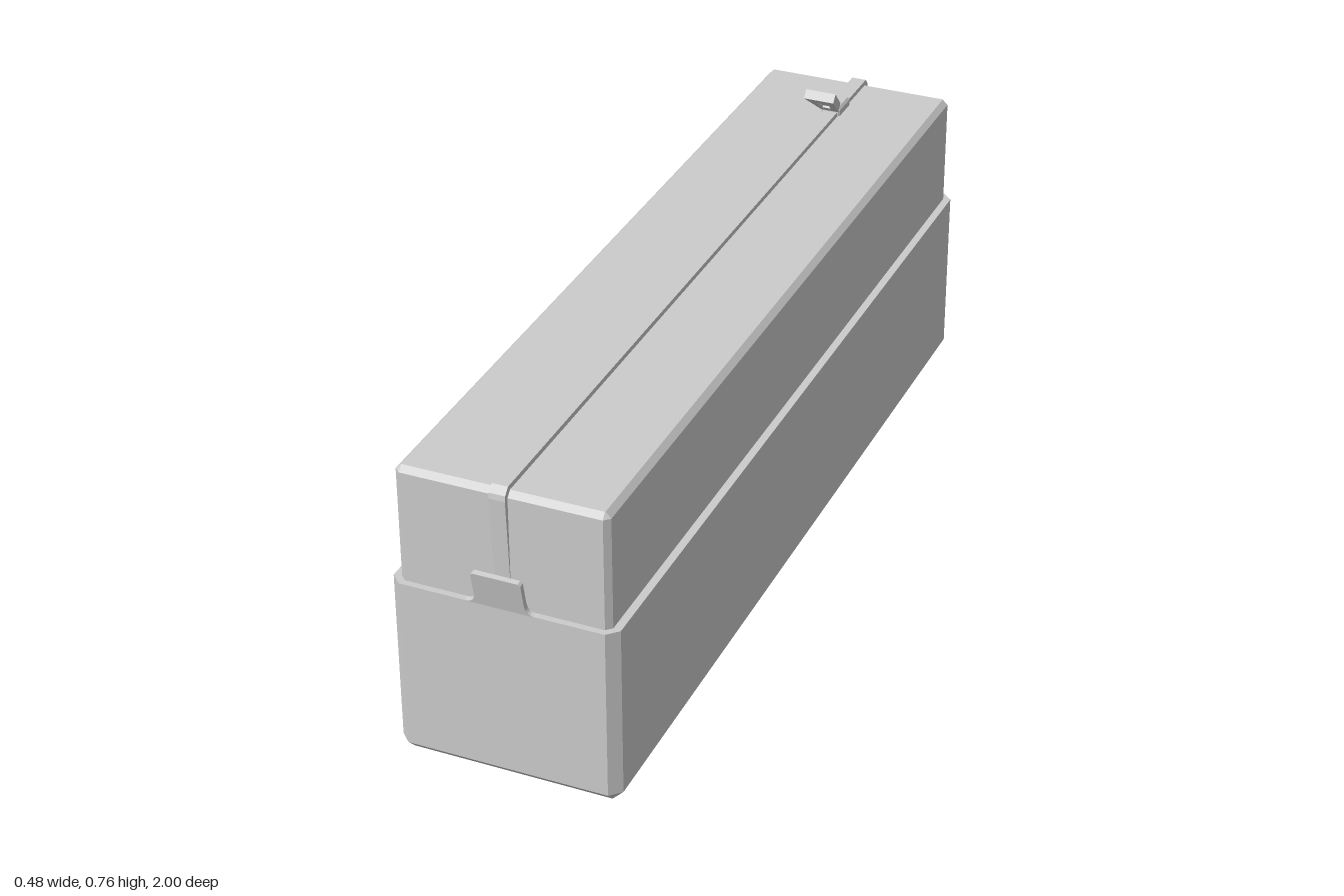
import * as THREE from 'three';

const material = new THREE.MeshStandardMaterial({ color: 0xcccccc, flatShading: true });

// Cut-corner box lofted from rings of [y, halfX, halfZ, cornerCut]
function chamferedLoft(rings) {
  const outline = ([y, hx, hz, c]) => [
    [hx, -hz + c], [hx - c, -hz], [-hx + c, -hz], [-hx, -hz + c],
    [-hx, hz - c], [-hx + c, hz], [hx - c, hz], [hx, hz - c],
  ].map(([x, z]) => [x, y, z]);
  const loops = rings.map(outline);
  const pos = [];
  const tri = (a, b, c) => pos.push(...a, ...b, ...c);
  for (let r = 0; r < loops.length - 1; r++) {
    const lo = loops[r], up = loops[r + 1];
    for (let i = 0; i < 8; i++) {
      const j = (i + 1) % 8;
      tri(lo[i], lo[j], up[j]);
      tri(lo[i], up[j], up[i]);
    }
  }
  const bottom = loops[0], top = loops[loops.length - 1];
  for (let i = 1; i < 7; i++) {
    tri(top[0], top[i], top[i + 1]);
    tri(bottom[0], bottom[i + 1], bottom[i]);
  }
  const g = new THREE.BufferGeometry();
  g.setAttribute('position', new THREE.Float32BufferAttribute(pos, 3));
  g.computeVertexNormals();
  return g;
}

const polygon = (pts) => new THREE.Shape(pts.map(([x, y]) => new THREE.Vector2(x, y)));

function extrude(shape, depth) {
  return new THREE.ExtrudeGeometry(shape, { depth, bevelEnabled: false, curveSegments: 6 })
    .translate(0, 0, -depth / 2);
}

export function createModel() {
  const model = new THREE.Group();
  model.name = 'zipCase';
  const add = (name, geometry, parent = model) => {
    const mesh = new THREE.Mesh(geometry, material);
    mesh.name = name;
    parent.add(mesh);
    return mesh;
  };

  // Lower sleeve and the narrower upper body
  add('lowerBody', chamferedLoft([
    [0, 0.218, 0.958, 0.001], [0.025, 0.242, 0.982, 0.023], [0.41, 0.242, 0.982, 0.023],
  ]));
  add('upperBody', chamferedLoft([
    [0.405, 0.225, 0.968, 0.012], [0.658, 0.225, 0.968, 0.012], [0.67, 0.213, 0.956, 0.001],
  ]));

  // Raised zip band running over the top and down both ends
  const band = polygon([
    [-0.966, 0.41], [0.966, 0.41], [0.979, 0.655], [0.977, 0.667], [0.964, 0.681],
    [-0.964, 0.681], [-0.977, 0.667], [-0.979, 0.655],
  ]);
  add('zipBand', extrude(band, 0.034).rotateY(Math.PI / 2));

  // Flared tab with filleted foot at each end
  const tab = new THREE.Shape();
  tab.moveTo(-0.077, 0);
  tab.quadraticCurveTo(-0.053, 0.001, -0.053, 0.026);
  tab.lineTo(-0.053, 0.078);
  tab.lineTo(-0.048, 0.083);
  tab.lineTo(0.048, 0.083);
  tab.lineTo(0.053, 0.078);
  tab.lineTo(0.053, 0.026);
  tab.quadraticCurveTo(0.053, 0.001, 0.077, 0);
  const tabGeometry = extrude(tab, 0.011).translate(0, 0, -0.0055)
    .rotateX(0.22).translate(0, 0.409, 0.982);
  add('frontTab', tabGeometry);
  add('backTab', tabGeometry).rotation.y = Math.PI;

  // Chamfered side label
  const label = add('sideLabel', chamferedLoft([
    [0, 0.019, 0.145, 0.002], [0.01, 0.019, 0.145, 0.002], [0.015, 0.014, 0.14, 0.001],
  ]));
  label.rotation.z = Math.PI / 2;
  label.position.set(-0.223, 0.617, 0.77);

  // Zip slider with a tilted, flared pull
  const slider = chamferedLoft([
    [0.672, 0.023, 0.036, 0.004], [0.686, 0.023, 0.036, 0.004], [0.692, 0.018, 0.031, 0.002],
  ]);
  add('slider', slider).position.z = -0.807;

  const pull = new THREE.Group();
  pull.name = 'zipPull';
  pull.position.set(0, 0.693, -0.775);
  pull.rotation.x = 0.915;
  model.add(pull);
  const window = [[-0.01, 0.026], [0.01, 0.026], [0.015, 0.066], [-0.015, 0.066]];
  const plate = polygon([[-0.021, 0], [0.021, 0], [0.036, 0.095], [-0.036, 0.095]]);
  plate.holes.push(polygon(window));
  add('pullPlate', extrude(plate, 0.022), pull);
  const inset = polygon(window);
  inset.holes.push(polygon([[-0.005, 0.039], [0.005, 0.039], [0.005, 0.054], [-0.005, 0.054]]));
  add('pullInset', extrude(inset, 0.012), pull);

  return model;
}
